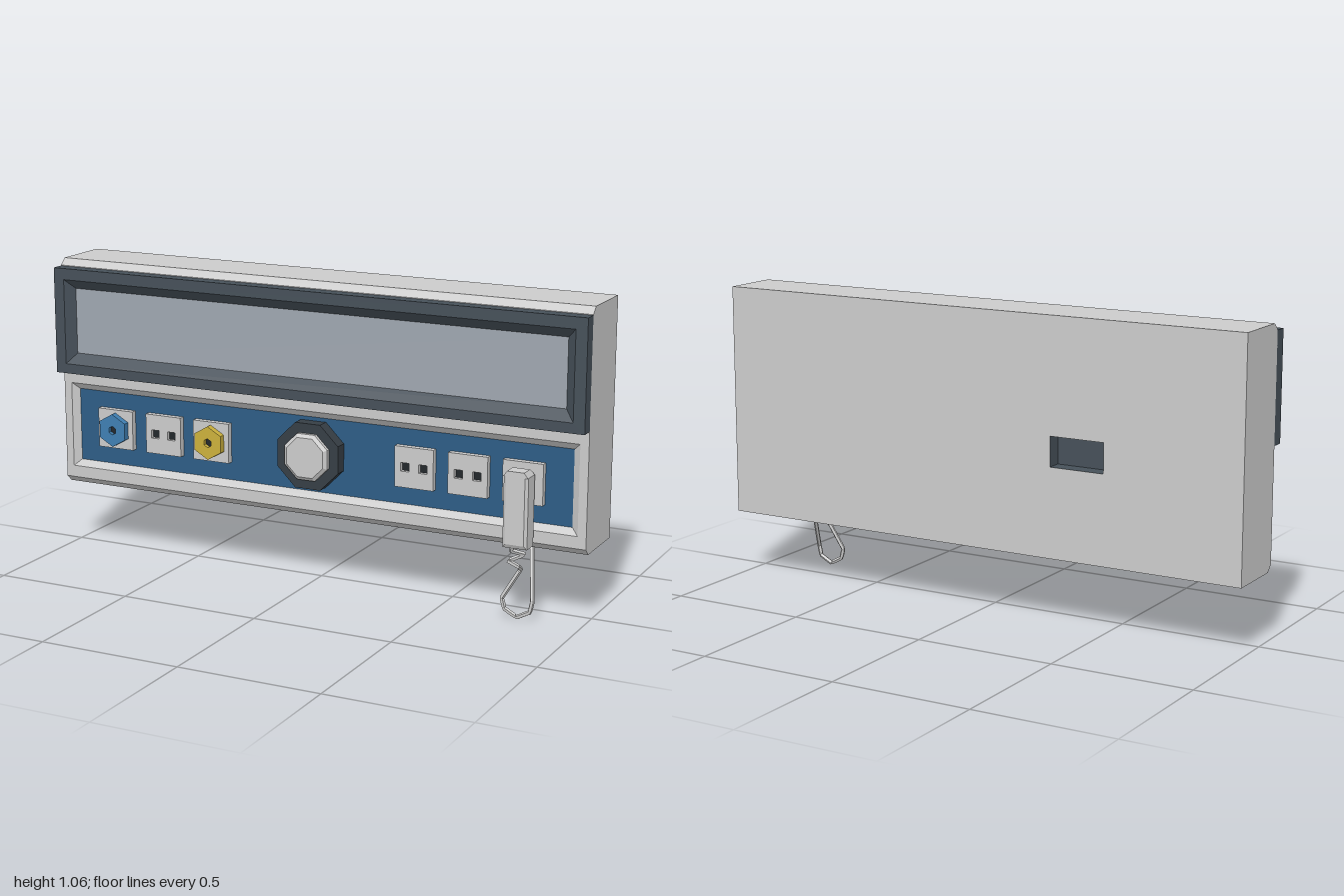
import * as THREE from 'three';

const GREY = 0xcccccc, DARK = 0x465059, BLACK = 0x22272b;

function add(parent, name, geometry, color = GREY) {
  const material = new THREE.MeshStandardMaterial({ color, flatShading: true });
  const mesh = new THREE.Mesh(geometry, material);
  mesh.name = name;
  parent.add(mesh);
  return mesh;
}

// Skin through a chain of rectangles [x0, x1, y0, y1, z]; start faces back, end faces front
function rectLoft(rects, capStart = true, capEnd = true) {
  const rings = rects.map(([x0, x1, y0, y1, z]) => [[x0, y0, z], [x1, y0, z], [x1, y1, z], [x0, y1, z]]);
  const pos = [];
  const quad = (a, b, c, d) => pos.push(...a, ...b, ...c, ...a, ...c, ...d);
  for (let i = 0; i < rings.length - 1; i++) {
    for (let k = 0; k < 4; k++) {
      const n = (k + 1) % 4;
      quad(rings[i][k], rings[i][n], rings[i + 1][n], rings[i + 1][k]);
    }
  }
  const s = rings[0], e = rings[rings.length - 1];
  if (capStart) quad(s[3], s[2], s[1], s[0]);
  if (capEnd) quad(...e);
  const g = new THREE.BufferGeometry();
  g.setAttribute('position', new THREE.Float32BufferAttribute(pos, 3));
  g.computeVertexNormals();
  return g;
}

// Regular polygon points; start is the angle of the first corner
function polygon(sides, r, start = 0, cx = 0, cy = 0) {
  return Array.from({ length: sides }, (_, i) => {
    const a = start + (i / sides) * Math.PI * 2;
    return new THREE.Vector2(cx + Math.cos(a) * r, cy + Math.sin(a) * r);
  });
}

function plate(outline, holes, z0, z1) {
  const shape = new THREE.Shape(outline);
  holes.forEach((h) => shape.holes.push(new THREE.Path(h)));
  return new THREE.ExtrudeGeometry(shape, { depth: z1 - z0, bevelEnabled: false }).translate(0, 0, z0);
}

// Octagonal prism facing front, flat side up
function octagon(rBack, rFront, z0, z1) {
  return new THREE.CylinderGeometry(rFront, rBack, z1 - z0, 8, 1)
    .rotateY(Math.PI / 8).rotateX(Math.PI / 2).translate(0, 0, (z0 + z1) / 2);
}

const ROW = 0.463; // height of the socket row
const PANEL_Z = 0.062;
const Q = Math.PI / 4;

function makeSocket(parent, x, kind) {
  const socket = new THREE.Group();
  socket.name = kind + 'Socket';
  socket.position.set(x, ROW, 0);
  parent.add(socket);
  const outline = polygon(4, 0.071 * Math.SQRT2, Q);
  if (kind === 'power') {
    const holes = [-0.033, 0.033].map((hx) => polygon(4, 0.015 * Math.SQRT2, Q, hx));
    add(socket, 'socketPlate', plate(outline, holes, PANEL_Z, 0.084));
    add(socket, 'socketHoles', new THREE.BoxGeometry(0.11, 0.05, 0.008).translate(0, 0, 0.066), BLACK);
    return;
  }
  add(socket, 'socketPlate', plate(outline, [], PANEL_Z, 0.084));
  if (kind === 'plain') return;
  // Hexagonal gas outlet with a dark bore
  const color = kind === 'blueGas' ? 0x3f7fb2 : 0xcbb03c;
  const start = Math.PI / 2;
  add(socket, 'gasNut', plate(polygon(6, 0.06, start), [polygon(6, 0.016, start)], 0.08, 0.108), color);
  add(socket, 'gasBore', new THREE.BoxGeometry(0.036, 0.036, 0.006).translate(0, 0, 0.09), BLACK);
}

export function createModel() {
  const model = new THREE.Group();
  model.name = 'bedheadUnit';

  // Housing: back slot rim, chamfered front, sunken panel opening
  add(model, 'housing', rectLoft([
    [-0.5, -0.3, 0.555, 0.66, -0.155],
    [-1, 1, 0.24, 1.065, -0.155],
    [-1, 1, 0.24, 1.065, 0.056],
    [-1, 1, 0.263, 1.042, 0.08],
    [-0.97, 0.97, 0.305, 0.615, 0.08],
    [-0.945, 0.945, 0.328, 0.592, PANEL_Z],
  ], false, false));
  add(model, 'backSlot', rectLoft([
    [-0.5, -0.3, 0.555, 0.66, -0.1],
    [-0.5, -0.3, 0.555, 0.66, -0.155],
  ], true, false), DARK);
  add(model, 'servicePanel', rectLoft([[-0.945, 0.945, 0.328, 0.592, PANEL_Z]], false), 0x2d5d86);

  // Lamp
  const lamp = new THREE.Group();
  lamp.name = 'lamp';
  model.add(lamp);
  add(lamp, 'lampFrame', rectLoft([
    [-1, 1, 0.66, 1.04, 0.079],
    [-1, 1, 0.66, 1.04, 0.127],
    [-0.96, 0.96, 0.695, 1.0, 0.127],
    [-0.927, 0.927, 0.732, 0.967, 0.1],
  ], true, false), DARK);
  add(lamp, 'lampDiffuser', rectLoft([[-0.927, 0.927, 0.732, 0.967, 0.1]], false), 0x9fa7b0);

  // Socket row
  makeSocket(model, -0.785, 'blueGas');
  makeSocket(model, -0.393, 'yellowGas');
  [-0.587, 0.387, 0.582].forEach((x) => makeSocket(model, x, 'power'));
  makeSocket(model, 0.777, 'plain');

  // Central dial
  const dial = new THREE.Group();
  dial.name = 'dial';
  dial.position.y = ROW;
  model.add(dial);
  add(dial, 'dialBase', octagon(0.125, 0.125, PANEL_Z, 0.108), 0x363e45);
  add(dial, 'dialCap', octagon(0.088, 0.088, 0.108, 0.121));
  add(dial, 'dialCapBevel', octagon(0.088, 0.075, 0.121, 0.13));

  // Hanging handset with its cord
  const handset = new THREE.Group();
  handset.name = 'handset';
  model.add(handset);
  add(handset, 'handsetBody', rectLoft([
    [0.737, 0.823, 0.257, 0.5, 0.095],
    [0.737, 0.823, 0.257, 0.5, 0.15],
    [0.747, 0.813, 0.27, 0.5, 0.157],
  ]));
  // Tapered top
  add(handset, 'handsetTop', rectLoft([
    [-0.043, 0.043, -0.031, 0.031, 0],
    [-0.03, 0.03, -0.031, 0.02, 0.018],
  ]).rotateX(-Math.PI / 2).scale(1, 1, -1).rotateY(Math.PI).scale(-1, 1, 1)
    .translate(0.78, 0.5, 0.126)).material.side = THREE.DoubleSide;
  add(handset, 'handsetHook', new THREE.BoxGeometry(0.05, 0.1, 0.02).translate(0.78, 0.45, 0.089));

  // Kinked cord, loop, then up to the underside of the housing
  const path = [
    [0.77, 0.26, 0.14], [0.76, 0.245, 0.138], [0.8, 0.228, 0.107], [0.75, 0.205, 0.13],
    [0.785, 0.192, 0.132], [0.785, 0.175, 0.103], [0.725, 0.07, 0.115], [0.735, 0.033, 0.115],
    [0.78, 0.009, 0.115], [0.825, 0.033, 0.115], [0.833, 0.07, 0.115], [0.79, 0.245, 0.02],
  ].map((p) => new THREE.Vector3(...p));
  const cord = new THREE.CatmullRomCurve3(path, false, 'catmullrom', 0);
  add(handset, 'cord', new THREE.TubeGeometry(cord, 70, 0.008, 5));

  return model;
}
